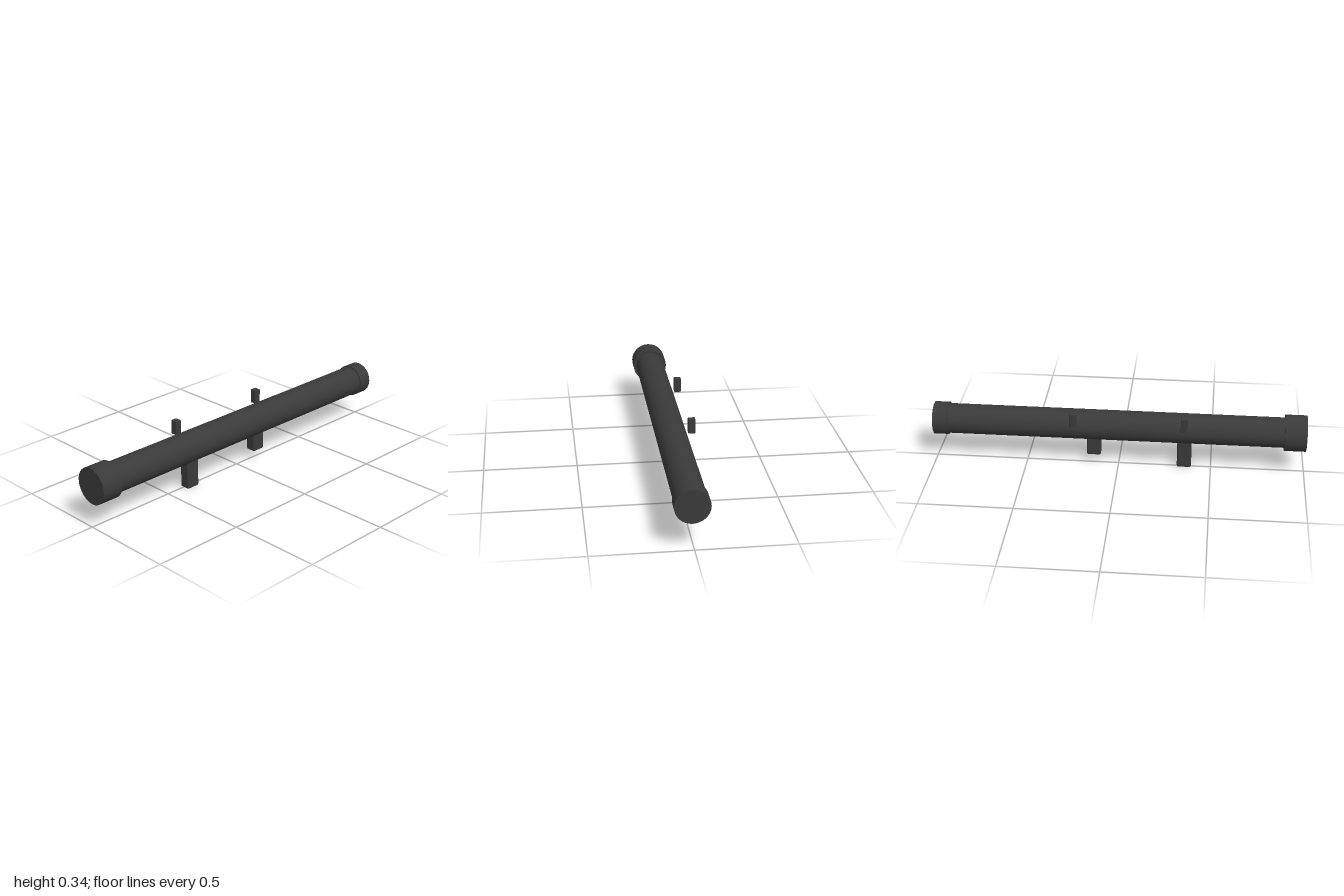
import * as THREE from 'three';
import { RoundedBoxGeometry } from 'three/addons/geometries/RoundedBoxGeometry.js';

const AXIS_X = 0.01;
const AXIS_Y = 0.228;

export function createModel() {
  const model = new THREE.Group();
  model.name = 'shoulderTube';

  const gunmetal = new THREE.MeshStandardMaterial({ color: 0x3a3a3a });
  gunmetal.name = 'dark grey metal';

  // Closed cylinder lying along z between two depths
  function barrel(name, radius, z0, z1) {
    const geometry = new THREE.CylinderGeometry(radius, radius, z1 - z0, 32);
    geometry.rotateX(Math.PI / 2);
    const mesh = new THREE.Mesh(geometry, gunmetal);
    mesh.name = name;
    mesh.position.set(AXIS_X, AXIS_Y, (z0 + z1) / 2);
    model.add(mesh);
  }

  // Softly bevelled block given by its minimum and maximum corners
  function block(name, min, max, bevel) {
    const size = max.map((v, i) => v - min[i]);
    const mesh = new THREE.Mesh(new RoundedBoxGeometry(...size, 2, bevel), gunmetal);
    mesh.name = name;
    mesh.position.set(...max.map((v, i) => (v + min[i]) / 2));
    model.add(mesh);
  }

  // Main tube with a collar at each end
  barrel('tube', 0.081, -0.99, 0.99);
  barrel('frontCollar', 0.097, 0.885, 1);
  barrel('rearCollar', 0.088, -1, -0.922);

  // Grips below the tube, the front one longer
  block('frontGrip', [-0.019, 0, 0.317], [0.039, 0.19, 0.394], 0.009);
  block('rearGrip', [-0.019, 0.053, -0.172], [0.039, 0.19, -0.096], 0.009);

  // Sight posts on the right side
  for (const [name, z] of [['frontSight', 0.354], ['rearSight', -0.235]]) {
    block(name, [-0.108, 0.267, z - 0.018], [-0.07, 0.345, z + 0.018], 0.004);
  }

  return model;
}
